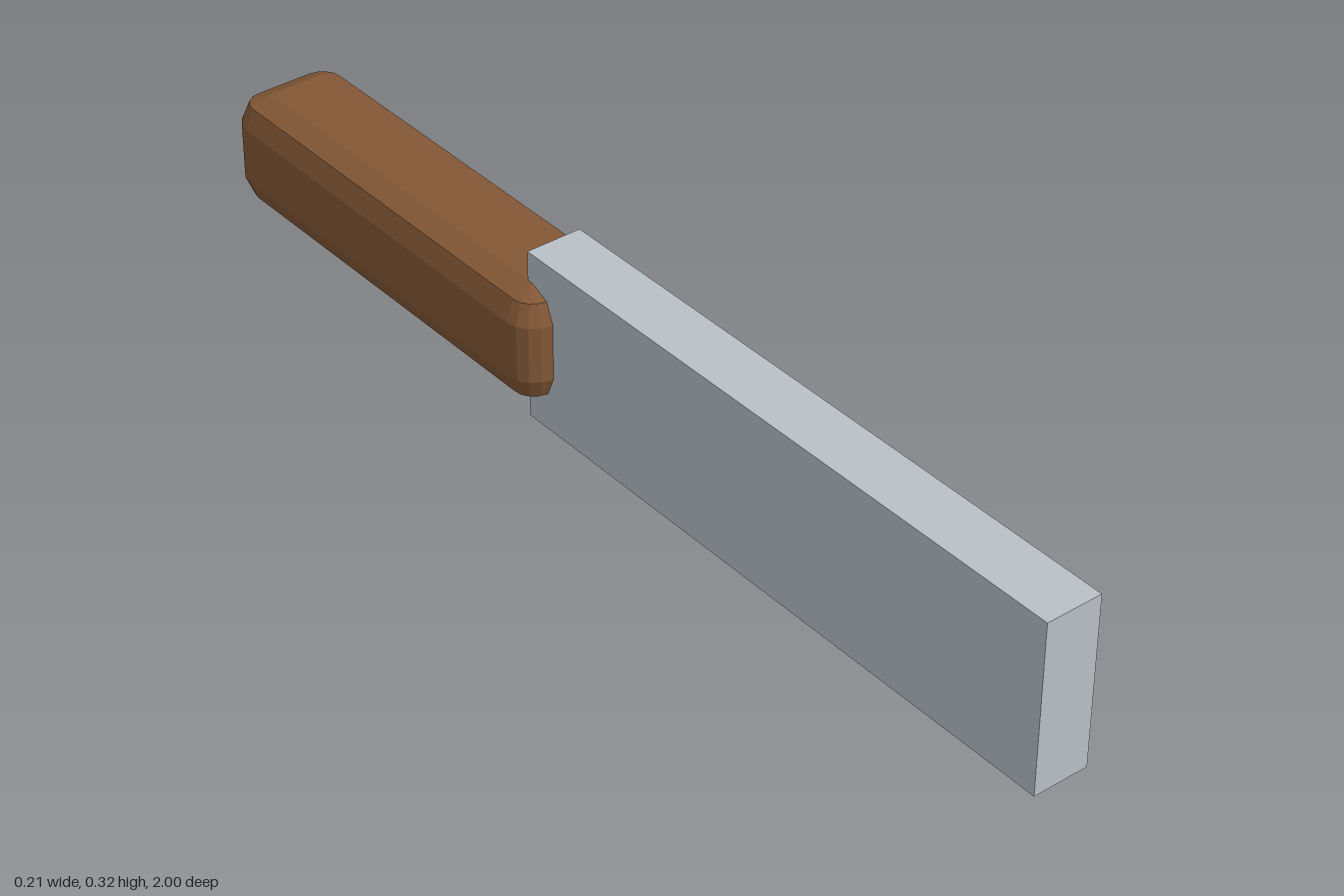
import * as THREE from 'three';
import { ConvexGeometry } from 'three/addons/geometries/ConvexGeometry.js';

// Faceted rounded block: two-step bevel on the top and bottom rims, finer rounding on the upright corners
function roundedBlock(w, h, d, r, cornerSteps) {
  const points = [];
  for (const sx of [-1, 1]) for (const sy of [-1, 1]) for (const sz of [-1, 1]) {
    for (let level = 0; level <= 2; level++) {
      const tilt = (level * Math.PI) / 4;
      const reach = r * Math.cos(tilt);
      const y = sy * (h / 2 - r + r * Math.sin(tilt));
      const steps = level === 2 ? 0 : cornerSteps;
      for (let i = 0; i <= steps; i++) {
        const a = (i / cornerSteps) * (Math.PI / 2);
        points.push(new THREE.Vector3(
          sx * (w / 2 - r + reach * Math.cos(a)),
          y,
          sz * (d / 2 - r + reach * Math.sin(a))
        ));
      }
    }
  }
  return new ConvexGeometry(points);
}

export function createModel() {
  const steel = new THREE.MeshStandardMaterial({ color: 0xb8c0c6 });
  steel.name = 'steel';
  const wood = new THREE.MeshStandardMaterial({ color: 0x835836 });
  wood.name = 'wood';

  const model = new THREE.Group();
  model.name = 'knife';

  // Plain slab blade
  const blade = new THREE.Mesh(new THREE.BoxGeometry(0.106, 0.323, 1.21), steel);
  blade.name = 'blade';
  blade.position.set(0, 0.1615, 0.395);

  // Bevelled grip overlapping the back of the blade
  const handle = new THREE.Mesh(roundedBlock(0.213, 0.213, 0.855, 0.0533, 4), wood);
  handle.name = 'handle';
  handle.position.set(0, 0.1615, -0.5725);

  model.add(blade, handle);
  return model;
}
